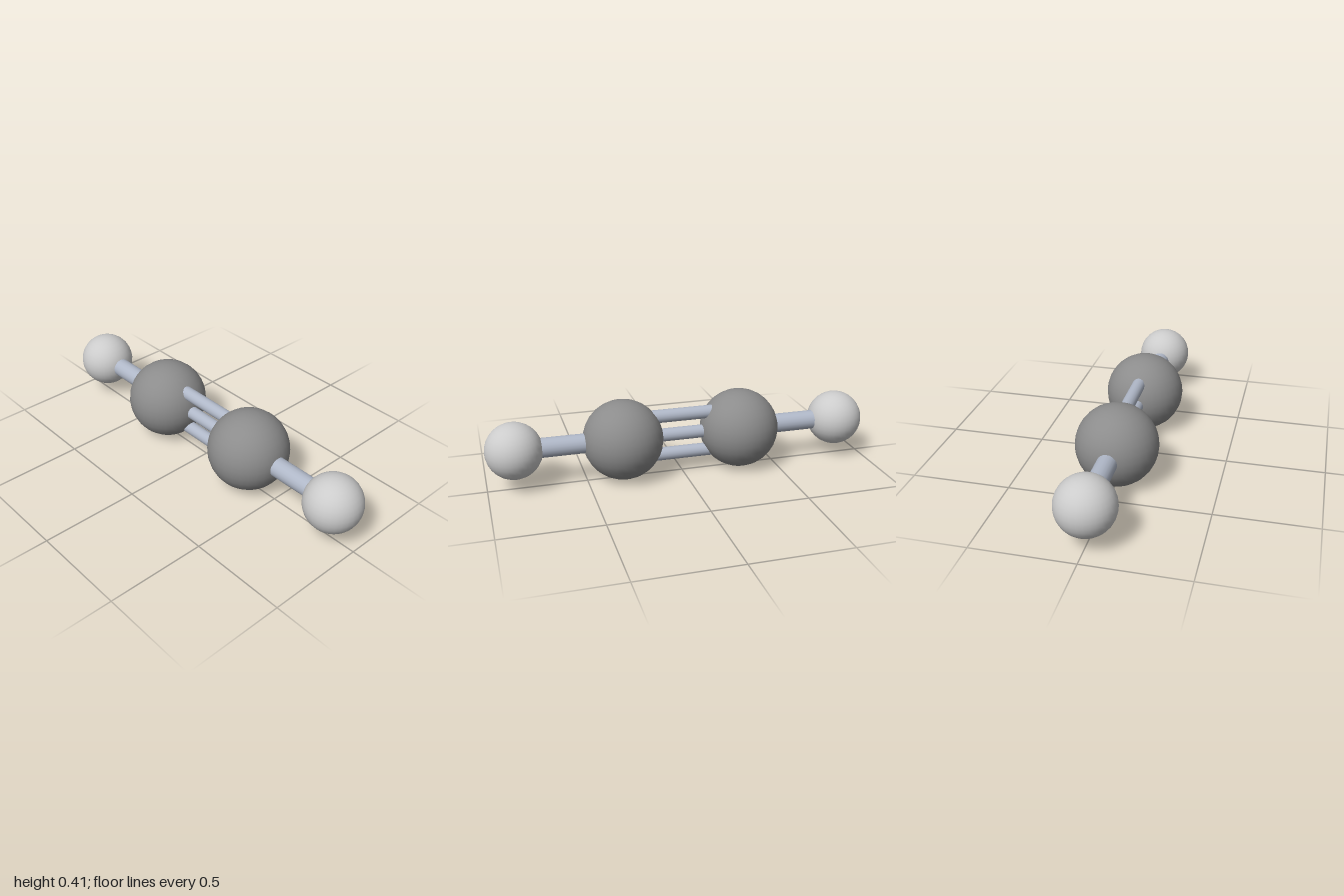
import * as THREE from 'three';

const CENTRE_Y = 0.205;
const INNER_X = 0.31, INNER_R = 0.205;
const OUTER_X = 0.857, OUTER_R = 0.143;

export function createModel() {
  const model = new THREE.Group();
  model.name = 'linearMolecule';

  const innerMaterial = new THREE.MeshStandardMaterial({ color: 0x8c8c8c });
  const outerMaterial = new THREE.MeshStandardMaterial({ color: 0xcccccc });
  const bondMaterial = new THREE.MeshStandardMaterial({ color: 0xb0b8c8 });

  function addAtom(name, x, radius, material) {
    const atom = new THREE.Mesh(new THREE.SphereGeometry(radius, 32, 16), material);
    atom.name = name;
    atom.position.set(x, CENTRE_Y, 0);
    model.add(atom);
  }

  // Rod along x between two atom centres
  function addBond(name, x1, x2, dy, radius) {
    const geometry = new THREE.CylinderGeometry(radius, radius, Math.abs(x2 - x1), 20);
    geometry.rotateZ(Math.PI / 2);
    const bond = new THREE.Mesh(geometry, bondMaterial);
    bond.name = name;
    bond.position.set((x1 + x2) / 2, CENTRE_Y + dy, 0);
    model.add(bond);
  }

  // Mirrored halves: large inner atom, small outer atom, single bond
  for (const [side, s] of [['left', 1], ['right', -1]]) {
    addAtom(side + 'InnerAtom', s * INNER_X, INNER_R, innerMaterial);
    addAtom(side + 'OuterAtom', s * OUTER_X, OUTER_R, outerMaterial);
    addBond(side + 'SingleBond', s * INNER_X, s * OUTER_X, 0, 0.05);
  }

  // Triple bond: three thin rods stacked vertically
  [['lower', -0.104], ['middle', 0], ['upper', 0.104]].forEach(([name, dy]) =>
    addBond(name + 'TripleBondRod', -INNER_X, INNER_X, dy, 0.034));

  return model;
}
